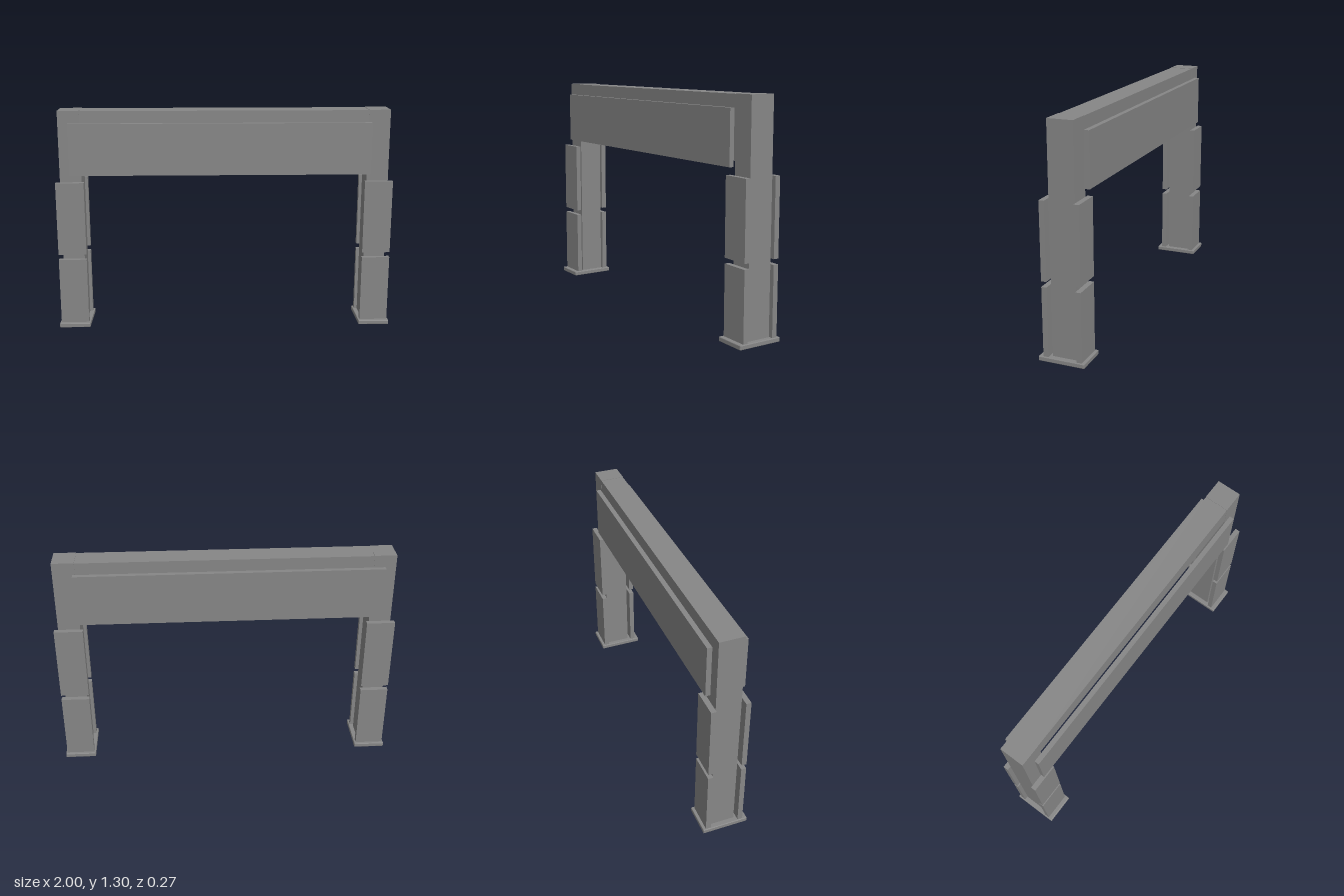
import * as THREE from 'three';
import { RoundedBoxGeometry } from 'three/addons/geometries/RoundedBoxGeometry.js';

const material = new THREE.MeshStandardMaterial({ color: 0x868686, flatShading: true });

// Box given by its lower and upper limits on each axis; an optional bevel softens its edges
function block(name, [x0, x1], [y0, y1], [z0, z1], bevel = 0) {
  const size = [x1 - x0, y1 - y0, z1 - z0];
  const geometry = bevel
    ? new RoundedBoxGeometry(...size, 1, bevel)
    : new THREE.BoxGeometry(...size);
  const mesh = new THREE.Mesh(geometry, material);
  mesh.name = name;
  mesh.position.set((x0 + x1) / 2, (y0 + y1) / 2, (z0 + z1) / 2);
  return mesh;
}

export function createModel() {
  const model = new THREE.Group();
  model.name = 'gateway';

  const coreDepth = [-0.082, 0.062];
  const faces = { front: [0.078, 0.107], back: [-0.116, -0.086] };
  const legTiers = { Lower: [0.025, 0.421], Upper: [0.452, 0.888] };

  // Legs: foot plate, post and two cladding panels on each face
  for (const [side, s] of [['left', 1], ['right', -1]]) {
    const span = (inner, outer) => (s > 0 ? [inner, outer] : [-outer, -inner]);
    const leg = new THREE.Group();
    leg.name = `${side}Leg`;
    leg.add(block('footPlate', span(0.816, 1), [0, 0.026], [-0.133, 0.133], 0.004));
    leg.add(block('post', span(0.843, 0.97), [0.02, 1.305], coreDepth));
    for (const [face, depth] of Object.entries(faces))
      for (const [tier, height] of Object.entries(legTiers))
        leg.add(block(`${face}${tier}Panel`, span(0.826, 0.992), height, depth));
    model.add(leg);
  }

  // Crossbeam between the posts
  model.add(block('crossbeam', [-0.843, 0.843], [1.18, 1.303], [-0.081, 0.061]));

  // Long boards on both faces of the beam
  for (const [face, depth] of [['front', [0.081, 0.108]], ['back', [-0.114, -0.086]]])
    model.add(block(`${face}Board`, [-0.908, 0.857], [0.931, 1.235], depth));

  return model;
}
